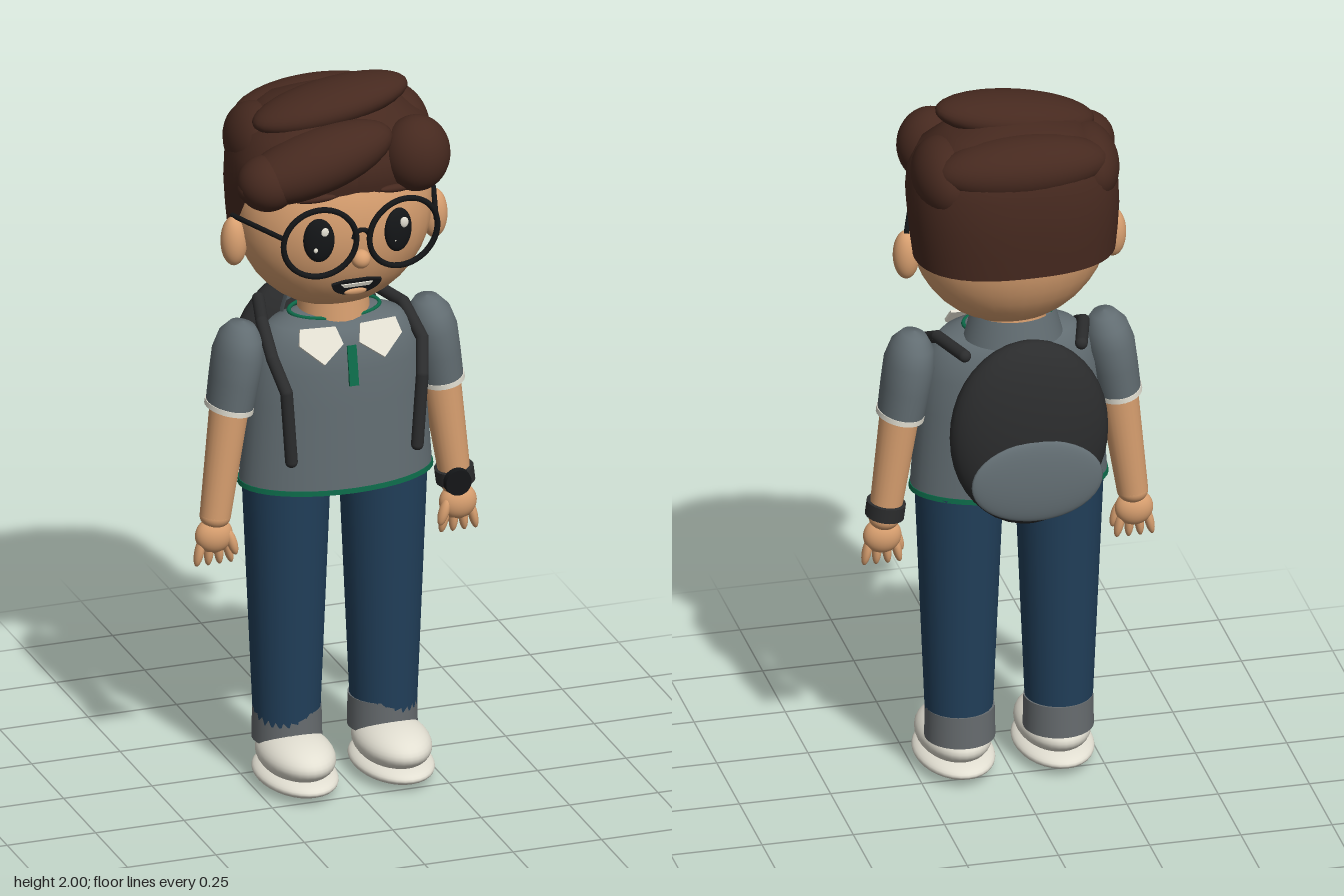
import * as THREE from 'three';

const mat = (name, color) => {
  const m = new THREE.MeshStandardMaterial({ color });
  m.name = name;
  return m;
};

export function createModel() {
  const skin = mat('skin', 0xd9a070), hair = mat('hair brown', 0x46291f), shirt = mat('shirt grey', 0x626d72);
  const denim = mat('denim blue', 0x213f5a), charcoal = mat('charcoal', 0x2b2c2d), black = mat('black', 0x141618);
  const cream = mat('cream', 0xe2dfd2), green = mat('green', 0x0d6b4a), cuffGrey = mat('cuff grey', 0x666b6e);
  shirt.side = hair.side = THREE.DoubleSide;
  const root = new THREE.Group();
  root.name = 'studentFigure';

  const add = (name, geo, m, p = [0, 0, 0], r = [0, 0, 0], s = [1, 1, 1]) => {
    const mesh = new THREE.Mesh(geo, m);
    mesh.name = name;
    mesh.position.set(...p);
    mesh.rotation.set(...r);
    mesh.scale.set(...s);
    root.add(mesh);
    return mesh;
  };
  const unit = new THREE.SphereGeometry(1, 32, 20);
  const ball = (name, m, p, radii, r) => add(name, unit, m, p, r, radii);
  const lathe = (pts, seg = 40) => new THREE.LatheGeometry(pts.map(([x, y]) => new THREE.Vector2(x, y)), seg);
  // Tapered round bar between two points
  const limb = (name, m, a, b, ra, rb) => {
    const A = new THREE.Vector3(...a), B = new THREE.Vector3(...b);
    const d = B.clone().sub(A);
    const mesh = add(name, new THREE.CylinderGeometry(rb, ra, d.length(), 24), m);
    mesh.position.copy(A).add(B).multiplyScalar(0.5);
    mesh.quaternion.setFromUnitVectors(new THREE.Vector3(0, 1, 0), d.normalize());
    return mesh;
  };
  const plate = (pts) => new THREE.ExtrudeGeometry(
    new THREE.Shape(pts.map(([x, y]) => new THREE.Vector2(x, y))), { depth: 0.008, bevelEnabled: false });

  // Torso, hem and neck
  add('shirtBody', lathe([[0.268, 0.865], [0.264, 0.92], [0.25, 1.1], [0.242, 1.2], [0.22, 1.27], [0.18, 1.31], [0.11, 1.335], [0, 1.34]]),
    shirt, [0, 0, 0.05], [0, 0, 0], [1, 1, 0.575]);
  add('shirtHem', new THREE.CylinderGeometry(0.27, 0.272, 0.014, 40), green, [0, 0.863, 0.05], [0, 0, 0], [1, 1, 0.575]);
  add('neck', new THREE.CylinderGeometry(0.09, 0.1, 0.12, 28), skin, [0, 1.36, 0.035]);
  add('collarBack', new THREE.CylinderGeometry(0.115, 0.135, 0.075, 32, 1, true, Math.PI / 2, Math.PI), shirt, [0, 1.35, 0.01], [0, 0, 0], [1, 1, 0.9]);
  add('collarTrim', new THREE.TorusGeometry(0.125, 0.006, 8, 40), green, [0, 1.33, 0.04], [Math.PI / 2, 0, 0], [1, 0.65, 1]);
  add('placket', new THREE.BoxGeometry(0.026, 0.11, 0.009), green, [0, 1.217, 0.187], [-0.2, 0, 0]);
  for (const y of [1.19, 1.24]) ball('button', black, [0, y, 0.193 - (y - 1.19) * 0.2], [0.004, 0.004, 0.003]);

  // Head and nose
  ball('head', skin, [0, 1.62, 0.035], [0.27, 0.275, 0.205]);
  ball('nose', skin, [0, 1.55, 0.25], [0.026, 0.026, 0.026]);

  // Mouth: round below, nearly flat on top
  const lips = [[0.035, 0.023], [-0.035, 0.023]];
  for (let i = 0; i <= 16; i++) {
    const a = Math.PI * (1 + i / 16);
    lips.push([0.07 * Math.cos(a), 0.015 + 0.045 * Math.sin(a)]);
  }
  add('mouth', plate(lips), black, [0, 1.46, 0.208], [0.4, 0, 0]);
  add('teeth', plate([[-0.045, 0.014], [-0.035, 0.002], [0.035, 0.002], [0.045, 0.014]]), cream, [0, 1.459, 0.211], [0.4, 0, 0]);
  ball('tongue', skin, [0, 1.44, 0.208], [0.032, 0.012, 0.008], [0.4, 0, 0]);

  // Hair cap: squared-off plan, with a hem that rises toward the forehead
  const cap = lathe([[0.965, 1.57], [0.985, 1.63], [1, 1.7], [0.985, 1.8], [0.87, 1.87], [0.6, 1.925], [0.3, 1.945], [0.001, 1.95]], 56);
  const pos = cap.attributes.position;
  for (let i = 0; i < pos.count; i++) {
    const x = pos.getX(i), y = pos.getY(i), z = pos.getZ(i), r = Math.hypot(x, z);
    const f = (Math.abs(x / r) ** 2.5 + Math.abs(z / r) ** 2.5) ** -0.4;
    const hem = 1.57 + 0.15 * THREE.MathUtils.smoothstep(z / r, -0.05, 0.5);
    const ny = y < 1.8 ? 1.8 - (1.8 - y) * (1.8 - hem) / 0.23 : y;
    pos.setXYZ(i, x * f * 0.283, ny, z * f * 0.218 + 0.01);
  }
  cap.computeVertexNormals();
  add('hairCap', cap, hair);
  // Swept locks of hair
  ball('topLock', hair, [-0.02, 1.93, 0.063], [0.22, 0.058, 0.1], [0, 0, 0.16]);
  ball('fringeLock', hair, [-0.105, 1.815, 0.18], [0.225, 0.085, 0.1], [0, 0, 0.27]);
  ball('fringeSideLock', hair, [0.18, 1.805, 0.185], [0.092, 0.105, 0.088]);
  ball('fringeEndLock', hair, [-0.24, 1.775, 0.18], [0.08, 0.075, 0.085]);
  ball('crownLock', hair, [0, 1.855, -0.1], [0.235, 0.085, 0.1]);

  // Glasses bridge
  add('glassesBridge', new THREE.TorusGeometry(0.022, 0.007, 8, 16, Math.PI), black, [0, 1.615, 0.258]);

  // Backpack
  ball('backpack', charcoal, [0, 1.103, -0.175], [0.217, 0.265, 0.09], [0.04, 0, 0]);
  ball('backpackPocket', shirt, [0, 1.0, -0.267], [0.18, 0.115, 0.021], [0.05, 0, 0]);

  for (const s of [1, -1]) {
    const side = s > 0 ? 'left' : 'right';
    // Ears, eyes, brows, glasses and side hair
    ball(side + 'Ear', skin, [s * 0.283, 1.56, 0.04], [0.036, 0.07, 0.036]);
    ball(side + 'Eye', black, [s * 0.112, 1.612, 0.232], [0.042, 0.062, 0.018], [0, s * 0.25, 0]);
    ball(side + 'EyeShine', cream, [s * 0.112 + 0.012, 1.637, 0.247], [0.012, 0.015, 0.005]);
    ball(side + 'EyeGlint', cream, [s * 0.112 - 0.014, 1.59, 0.247], [0.006, 0.007, 0.004]);
    ball(side + 'Brow', hair, [s * 0.115, 1.725, 0.215], [0.055, 0.011, 0.012], [0, s * 0.3, -s * 0.12]);
    add(side + 'Rim', new THREE.TorusGeometry(0.1, 0.008, 10, 48), black, [s * 0.118, 1.615, 0.258], [0.1, s * 0.1, 0]);
    limb(side + 'Temple', black, [s * 0.215, 1.635, 0.245], [s * 0.285, 1.63, 0.03], 0.007, 0.007);
    ball(side + 'HairSide', hair, [s * 0.195, 1.81, -0.02], [0.085, 0.105, 0.14]);

    // Collar flap
    const flap = [[0.135, 0.05], [0.035, 0.045], [0.022, -0.005], [0.085, -0.055], [0.145, 0.005]].map(([x, y]) => [x * s, y]);
    add(side + 'CollarFlap', plate(flap), cream, [0, 1.278, 0.168], [-0.6, 0, 0]);

    // Sleeve, arm and hand
    const tilt = [0, 0, s * 0.16];
    add(side + 'Sleeve', lathe([[0.062, 0], [0.066, 0.08], [0.068, 0.15], [0.057, 0.2], [0.033, 0.232], [0, 0.24]], 28),
      shirt, [s * 0.297, 1.09, 0.045], tilt, [1, 1, 1.28]);
    add(side + 'SleeveTrim', new THREE.CylinderGeometry(0.064, 0.064, 0.014, 28), cream, [s * 0.298, 1.09, 0.045], tilt, [1, 1, 1.28]);
    limb(side + 'Arm', skin, [s * 0.34, 0.78, 0.052], [s * 0.297, 1.1, 0.047], 0.042, 0.054);
    ball(side + 'Wrist', skin, [s * 0.34, 0.78, 0.052], [0.042, 0.035, 0.042]);
    ball(side + 'Palm', skin, [s * 0.345, 0.725, 0.055], [0.052, 0.05, 0.036]);
    for (let i = 0; i < 4; i++) {
      const k = i - 1.5;
      ball(side + 'Finger', skin, [s * (0.346 + k * 0.027), 0.683, 0.056], [0.0125, 0.043, 0.017], [0, 0, s * k * 0.14]);
    }
    ball(side + 'Thumb', skin, [s * 0.3, 0.705, 0.07], [0.014, 0.04, 0.016], [0, 0, -s * 0.3]);

    // Backpack strap
    const strap = [[0.178, 0.97, 0.2], [0.192, 1.17, 0.2], [0.212, 1.25, 0.145], [0.2, 1.31, 0.03], [0.16, 1.315, -0.11]]
      .map(([x, y, z]) => [s * x, y, z]);
    strap.forEach((p, i) => {
      ball(side + 'StrapJoint', charcoal, p, [0.017, 0.017, 0.017]);
      if (i) limb(side + 'Strap', charcoal, strap[i - 1], p, 0.017, 0.017);
    });

    // Leg, cuff and shoe
    limb(side + 'TrouserLeg', denim, [s * 0.137, 0.17, 0.048], [s * 0.137, 0.862, 0.045], 0.09, 0.119);
    add(side + 'Cuff', new THREE.CylinderGeometry(0.093, 0.095, 0.09, 28), cuffGrey, [s * 0.135, 0.158, 0.045]);
    ball(side + 'Sole', cream, [s * 0.136, 0.034, 0.112], [0.107, 0.034, 0.173]);
    ball(side + 'ShoeUpper', cream, [s * 0.136, 0.09, 0.115], [0.1, 0.06, 0.158]);
  }

  // Wristwatch on the left arm
  add('watchBand', new THREE.CylinderGeometry(0.05, 0.05, 0.04, 28), charcoal, [0.337, 0.805, 0.052], [0, 0, 0.13], [1.05, 1, 1.15]);
  add('watchFace', new THREE.CylinderGeometry(0.036, 0.038, 0.018, 24), black, [0.325, 0.803, 0.11], [Math.PI / 2, 0, 0]);
  return root;
}
